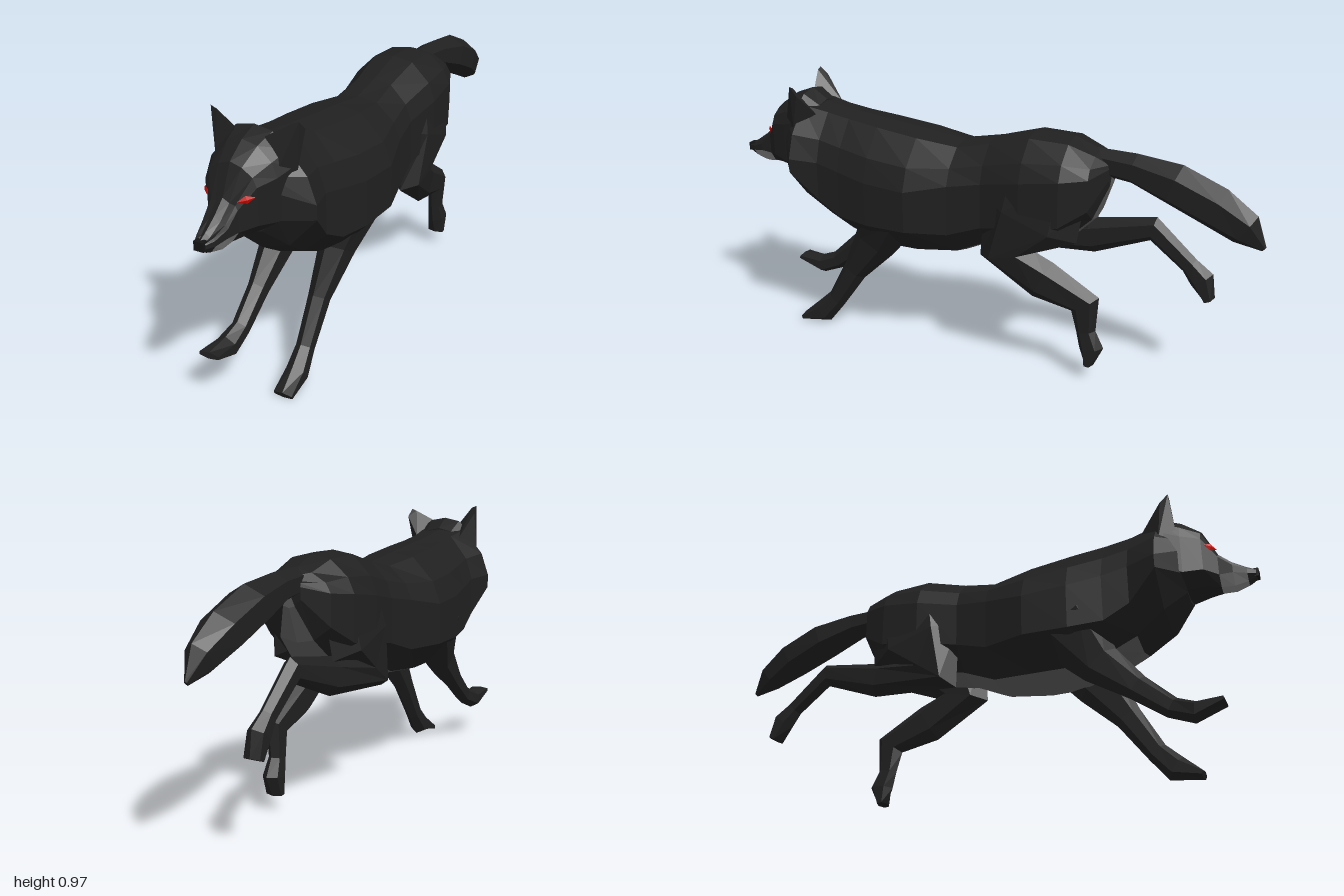
import * as THREE from 'three';
import { ConvexGeometry } from 'three/addons/geometries/ConvexGeometry.js';

const paint = (name, color) => {
  const m = new THREE.MeshStandardMaterial({ color });
  m.name = name;
  return m;
};
const fur = paint('black fur', 0x202020);
const belly = paint('grey belly', 0x5c5c5c);
const lip = paint('pale muzzle', 0x868686);
const red = paint('red eyes', 0xcc0800);
const dark = paint('nose black', 0x151515);

// Faceted skin through rings of points; pick(i, j) chooses the material slot.
function loft(name, rings, mats = [fur], pick = () => 0) {
  const buckets = mats.map(() => []);
  const n = rings[0].length, last = rings.length - 1;
  const add = (slot, ...pts) => pts.forEach(p => buckets[slot].push(p.x, p.y, p.z));
  for (let i = 0; i < last; i++) {
    for (let j = 0; j < n; j++) {
      const k = (j + 1) % n, slot = pick(i, j);
      const a = rings[i][j], b = rings[i][k], c = rings[i + 1][k], d = rings[i + 1][j];
      add(slot, a, b, c);
      add(slot, a, c, d);
    }
  }
  for (const i of [0, last]) {
    const mid = new THREE.Vector3();
    rings[i].forEach(p => mid.addScaledVector(p, 1 / n));
    for (let j = 0; j < n; j++) {
      const a = rings[i][j], b = rings[i][(j + 1) % n], slot = pick(i, j);
      if (i) add(slot, mid, a, b); else add(slot, mid, b, a);
    }
  }
  const geo = new THREE.BufferGeometry();
  geo.setAttribute('position', new THREE.Float32BufferAttribute(buckets.flat(), 3));
  let start = 0;
  buckets.forEach((b, s) => {
    geo.addGroup(start, b.length / 3, s);
    start += b.length / 3;
  });
  geo.computeVertexNormals();
  const mesh = new THREE.Mesh(geo, mats);
  mesh.name = name;
  return mesh;
}

// Twelve-point trunk section, from the top down the right side and up the left.
function section([z, top, bot, w, yU, yL]) {
  const half = [
    [0.45 * w, top - 0.012], [0.85 * w, top + 0.55 * (yU - top)],
    [w, yU], [w, yL], [0.5 * w, bot + 0.22 * (yL - bot)],
  ];
  const v = (x, y) => new THREE.Vector3(x, y, z);
  return [
    v(0, top), ...half.map(([x, y]) => v(-x, y)),
    v(0, bot), ...half.slice().reverse().map(([x, y]) => v(x, y)),
  ];
}

// Limb through stations [z, y, x, half width, half depth], square to its path.
function limb(name, st, sides = 6) {
  const dir = (a, b) => new THREE.Vector2(b[0] - a[0], b[1] - a[1]).normalize();
  const rings = st.map(([z, y, x, hw, t], i) => {
    const d = new THREE.Vector2();
    if (i > 0) d.add(dir(st[i - 1], st[i]));
    if (i < st.length - 1) d.add(dir(st[i], st[i + 1]));
    d.normalize();
    return Array.from({ length: sides }, (_, j) => {
      const a = (j + 0.5) / sides * Math.PI * 2;
      const c = Math.cos(a) * hw / Math.cos(Math.PI / sides), s = Math.sin(a) * t;
      return new THREE.Vector3(x + c, y + d.x * s, z - d.y * s);
    });
  });
  return loft(name, rings);
}

export function createModel() {
  const g = new THREE.Group();
  g.name = 'running wolf';

  // Trunk, rump to neck ruff: z, top, bottom, half width, upper and lower flank
  const trunk = [
    [-0.475, 0.80, 0.70, 0.045, 0.77, 0.73],
    [-0.43, 0.825, 0.58, 0.13, 0.75, 0.64],
    [-0.34, 0.86, 0.49, 0.165, 0.74, 0.58],
    [-0.20, 0.865, 0.46, 0.17, 0.72, 0.56],
    [-0.05, 0.825, 0.43, 0.148, 0.69, 0.53],
    [0.07, 0.80, 0.375, 0.165, 0.67, 0.49],
    [0.22, 0.82, 0.36, 0.207, 0.64, 0.49],
    [0.38, 0.84, 0.36, 0.20, 0.65, 0.49],
    [0.50, 0.855, 0.405, 0.18, 0.67, 0.50],
    [0.59, 0.87, 0.445, 0.172, 0.69, 0.55],
    [0.69, 0.89, 0.51, 0.20, 0.70, 0.65],
    [0.765, 0.86, 0.60, 0.105, 0.75, 0.66],
  ];
  g.add(loft('trunk', trunk.map(section), [fur, belly],
    (i, j) => (i < 9 && (j === 5 || j === 6) ? 1 : 0)));

  // Head, with pale lower muzzle
  const head = [
    [0.64, 0.885, 0.64, 0.12, 0.80, 0.70],
    [0.70, 0.924, 0.62, 0.138, 0.82, 0.68],
    [0.765, 0.90, 0.61, 0.115, 0.80, 0.66],
    [0.83, 0.855, 0.618, 0.088, 0.79, 0.67],
    [0.875, 0.76, 0.615, 0.05, 0.73, 0.66],
    [0.92, 0.72, 0.61, 0.045, 0.69, 0.662],
    [0.965, 0.69, 0.626, 0.033, 0.672, 0.655],
    [0.992, 0.675, 0.642, 0.02, 0.668, 0.655],
  ];
  g.add(loft('head', head.map(section), [fur, lip],
    (i, j) => (i >= 4 && i <= 5 && j >= 4 && j <= 7 ? 1 : 0)));

  // Nose pad
  const nose = new THREE.Mesh(new THREE.BoxGeometry(0.034, 0.03, 0.02), dark);
  nose.name = 'nose';
  nose.position.set(0, 0.662, 0.99);
  g.add(nose);

  // Ears and eyes
  for (const [s, tip] of [[1, [0.152, 0.957, 0.70]], [-1, [0.122, 0.974, 0.74]]]) {
    const pts = [
      tip, [tip[0] - 0.02, tip[1] - 0.008, tip[2]], [tip[0] + 0.004, tip[1] - 0.03, tip[2] - 0.03],
      [0.055, 0.905, 0.73], [0.143, 0.80, 0.70], [0.095, 0.85, 0.63], [0.105, 0.81, 0.755],
    ].map(([x, y, z]) => new THREE.Vector3(s * x, y, z));
    const ear = new THREE.Mesh(new ConvexGeometry(pts), fur);
    ear.name = s > 0 ? 'leftEar' : 'rightEar';
    g.add(ear);

    const eye = new THREE.Mesh(new THREE.OctahedronGeometry(1), red);
    eye.name = s > 0 ? 'leftEye' : 'rightEye';
    eye.scale.set(0.028, 0.013, 0.0048);
    eye.position.set(s * 0.069, 0.761, 0.857);
    eye.rotation.set(0, s * 0.78, s * 0.15);
    g.add(eye);
  }

  // Front legs
  g.add(limb('leftFrontLeg', [
    [0.33, 0.53, 0.12, 0.078, 0.13], [0.40, 0.39, 0.098, 0.048, 0.085],
    [0.50, 0.25, 0.086, 0.03, 0.048], [0.59, 0.11, 0.083, 0.026, 0.037],
    [0.65, 0.045, 0.085, 0.032, 0.045], [0.738, 0.012, 0.085, 0.034, 0.012],
  ]));
  g.add(limb('rightFrontLeg', [
    [0.36, 0.53, -0.12, 0.078, 0.13], [0.46, 0.38, -0.10, 0.045, 0.075],
    [0.58, 0.275, -0.10, 0.029, 0.045], [0.69, 0.185, -0.10, 0.026, 0.036],
    [0.765, 0.155, -0.105, 0.034, 0.038], [0.86, 0.178, -0.105, 0.036, 0.01],
  ]));

  // Hind legs, with broad thighs
  const thigh = s => [[-0.25, 0.73, s * 0.095, 0.055, 0.17], [-0.225, 0.58, s * 0.115, 0.058, 0.18]];
  g.add(limb('leftHindLeg', [
    ...thigh(1), [-0.14, 0.44, 0.115, 0.05, 0.105],
    [-0.27, 0.355, 0.10, 0.036, 0.08], [-0.425, 0.285, 0.09, 0.026, 0.06],
    [-0.43, 0.18, 0.085, 0.022, 0.036], [-0.452, 0.12, 0.085, 0.03, 0.045],
    [-0.445, 0.055, 0.085, 0.03, 0.018],
  ]));
  g.add(limb('rightHindLeg', [
    ...thigh(-1), [-0.15, 0.44, -0.115, 0.05, 0.105],
    [-0.38, 0.47, -0.10, 0.034, 0.066], [-0.605, 0.53, -0.095, 0.026, 0.046],
    [-0.74, 0.415, -0.095, 0.022, 0.034], [-0.785, 0.37, -0.095, 0.03, 0.046],
    [-0.815, 0.30, -0.095, 0.03, 0.022],
  ]));

  // Tail
  g.add(limb('tail', [
    [-0.40, 0.785, 0, 0.038, 0.045], [-0.55, 0.772, 0, 0.05, 0.053],
    [-0.69, 0.735, 0, 0.066, 0.074], [-0.83, 0.675, 0, 0.062, 0.075],
    [-0.93, 0.615, 0, 0.04, 0.062], [-0.995, 0.555, 0, 0.005, 0.01],
  ]));
  return g;
}
